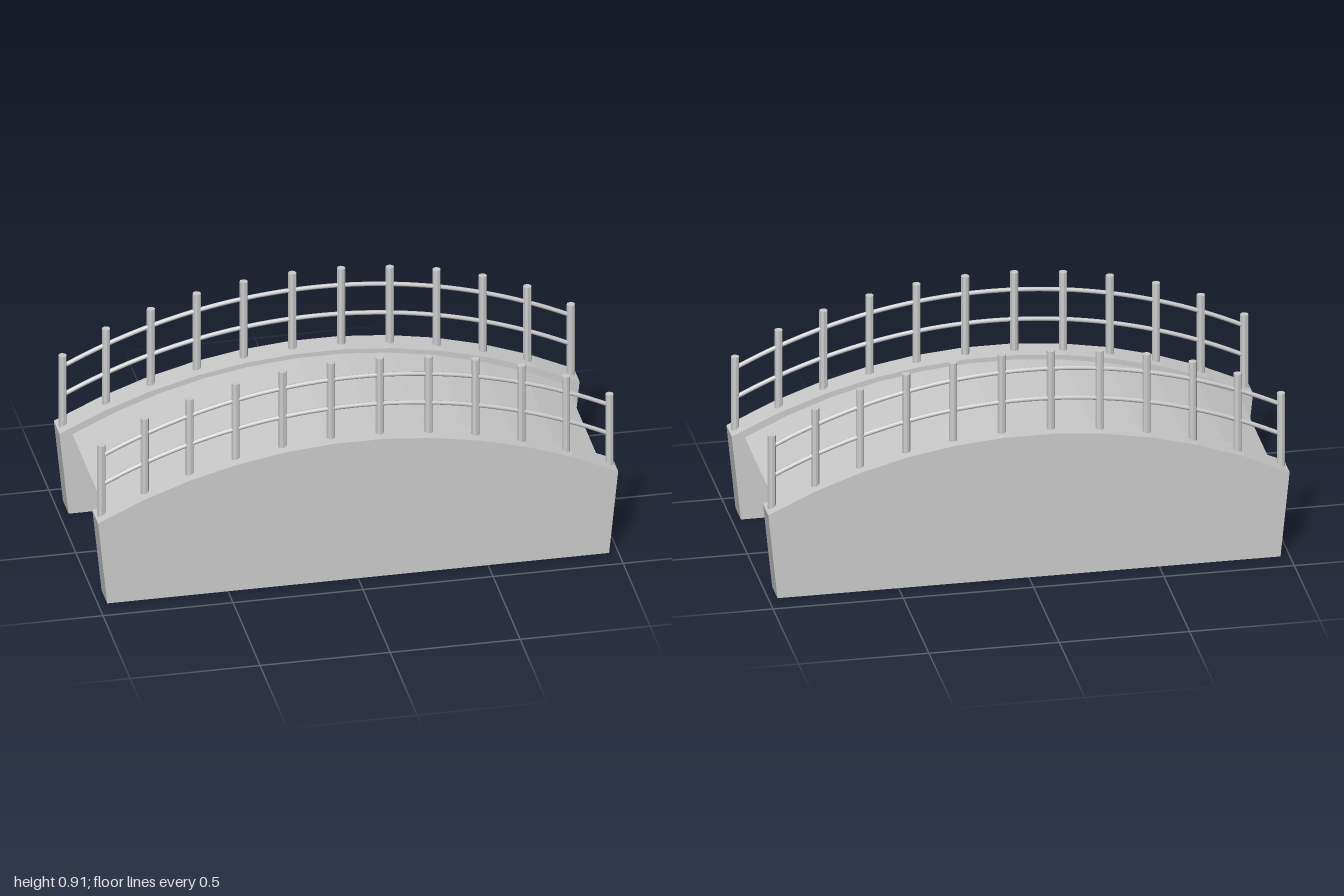
import * as THREE from 'three';

const material = new THREE.MeshStandardMaterial({ color: 0xcccccc, flatShading: true });
const smooth = new THREE.MeshStandardMaterial({ color: 0xcccccc });

// Points along a circular arch from x = -half to +half, apex at y = top
function arch(half, radius, top, segments) {
  const a = Math.asin(half / radius);
  return Array.from({ length: segments + 1 }, (_, i) => {
    const t = a * (2 * i / segments - 1);
    return new THREE.Vector2(radius * Math.sin(t), top - radius * (1 - Math.cos(t)));
  });
}

// Profile in the xy plane, extruded along z and centred on the given z
function slab(name, points, depth, z) {
  const geometry = new THREE.ExtrudeGeometry(new THREE.Shape(points), { depth, bevelEnabled: false });
  geometry.translate(0, 0, z - depth / 2);
  const mesh = new THREE.Mesh(geometry, material);
  mesh.name = name;
  return mesh;
}

export function createModel() {
  const bridge = new THREE.Group();
  bridge.name = 'archedBridge';

  // Curved walkway of constant thickness with radial ends
  const deckTop = arch(0.95, 2.06, 0.572, 11);
  const inner = (2.06 - 0.056) / 2.06;
  const deckBottom = arch(0.95 * inner, 2.06 * inner, 0.516, 11);
  bridge.add(slab('deck', [...deckBottom, ...deckTop.reverse()], 0.61, 0));

  const wallTop = arch(1, 2.18, 0.59, 11);
  const wallProfile = [
    new THREE.Vector2(-0.965, 0), new THREE.Vector2(0.965, 0), ...wallTop.slice().reverse(),
  ];

  // Post positions and top heights, mirrored about x = 0
  const posts = [[0.094, 0.91], [0.281, 0.894], [0.461, 0.863], [0.638, 0.816], [0.81, 0.751], [0.977, 0.655]];

  for (const side of [1, -1]) {
    const prefix = side > 0 ? 'front' : 'back';
    const z = 0.357 * side;
    bridge.add(slab(prefix + 'Wall', wallProfile, 0.105, z));

    const railing = new THREE.Group();
    railing.name = prefix + 'Railing';
    railing.position.z = z;

    for (const [x, top] of posts) {
      for (const mirror of [1, -1]) {
        const height = 0.33;
        const post = new THREE.Mesh(new THREE.CylinderGeometry(0.016, 0.016, height, 8), material);
        post.name = 'post';
        post.position.set(x * mirror, top - height / 2, 0);
        railing.add(post);
      }
    }

    // Two bent handrails running through the posts
    for (const [name, top] of [['upperRail', 0.838], ['lowerRail', 0.715]]) {
      const path = new THREE.CatmullRomCurve3(
        arch(0.977, 2.18, top, 22).map(p => new THREE.Vector3(p.x, p.y, 0)));
      const rail = new THREE.Mesh(new THREE.TubeGeometry(path, 44, 0.009, 8), smooth);
      rail.name = name;
      railing.add(rail);
    }
    bridge.add(railing);
  }
  return bridge;
}
